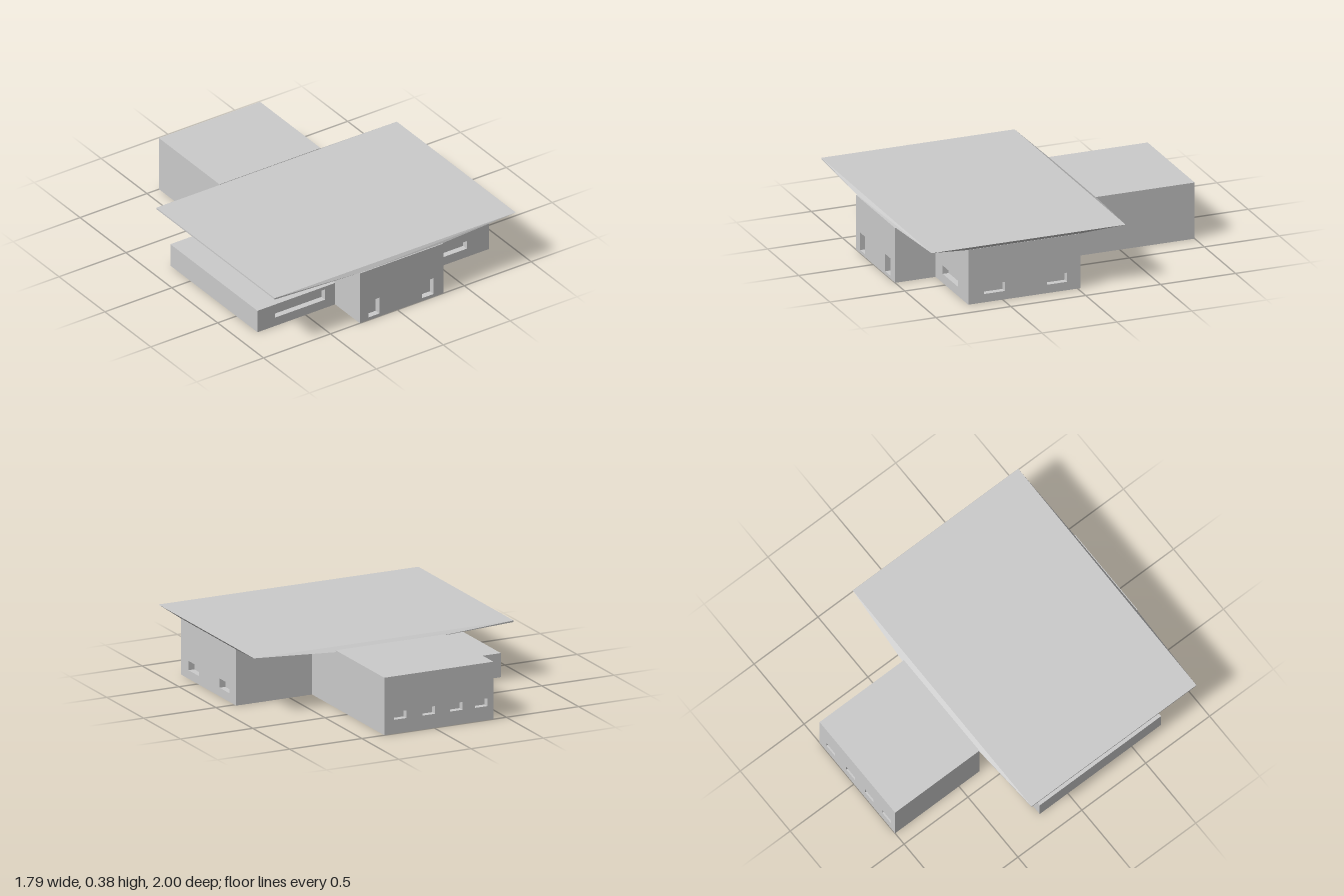
import * as THREE from 'three';
import { mergeGeometries } from 'three/addons/utils/BufferGeometryUtils.js';
import { ConvexGeometry } from 'three/addons/geometries/ConvexGeometry.js';

const material = new THREE.MeshStandardMaterial({ color: 0xcccccc });
const DEPTH = 0.04; // window recess

// Flat wall in the xy plane, facing +z, with recessed openings [u0, u1, y0, y1]
function wallGeometry(width, height, openings = []) {
  const w = width / 2;
  const rect = (Type, a, b, c, d) => new Type([[a, c], [b, c], [b, d], [a, d]].map(p => new THREE.Vector2(...p)));
  const shape = rect(THREE.Shape, -w, w, 0, height);
  const parts = [];
  for (const [a, b, c, d] of openings) {
    shape.holes.push(rect(THREE.Path, a, b, c, d));
    // Inside-out box without its front face lines the opening
    const niche = new THREE.BoxGeometry(b - a, d - c, DEPTH);
    const index = Array.from(niche.index.array);
    index.splice(24, 6);
    niche.setIndex(index.reverse());
    const normal = niche.attributes.normal;
    for (let i = 0; i < normal.array.length; i++) normal.array[i] *= -1;
    parts.push(niche.translate((a + b) / 2, (c + d) / 2, -DEPTH / 2));
  }
  parts.push(new THREE.ShapeGeometry(shape));
  return mergeGeometries(parts.map(g => g.toNonIndexed()));
}

// Closed building block; openings are given per side in model coordinates
function block(name, [x0, x1], [z0, z1], height, { front = [], back = [], left = [] } = {}) {
  const w = x1 - x0, d = z1 - z0, cx = (x0 + x1) / 2, cz = (z0 + z1) / 2;
  const flip = (list, c) => list.map(([a, b, y0, y1]) => [c - b, c - a, y0, y1]);
  const geometry = mergeGeometries([
    wallGeometry(w, height, front.map(([a, b, y0, y1]) => [a - cx, b - cx, y0, y1])).translate(0, 0, d / 2),
    wallGeometry(w, height, flip(back, cx)).rotateY(Math.PI).translate(0, 0, -d / 2),
    wallGeometry(d, height, flip(left, cz)).rotateY(Math.PI / 2).translate(w / 2, 0, 0),
    wallGeometry(d, height).rotateY(-Math.PI / 2).translate(-w / 2, 0, 0),
    new THREE.PlaneGeometry(w, d).rotateX(-Math.PI / 2).translate(0, height, 0).toNonIndexed(),
    new THREE.PlaneGeometry(w, d).rotateX(Math.PI / 2).toNonIndexed(),
  ]);
  const mesh = new THREE.Mesh(geometry, material);
  mesh.name = name;
  mesh.position.set(cx, 0, cz);
  return mesh;
}

export function createModel() {
  const group = new THREE.Group();
  group.name = 'building';

  // Central hall with two door openings
  group.add(block('centralHall', [-0.28, 0.345], [-0.34, 1], 0.36, {
    front: [[-0.215, -0.135, 0.02, 0.135], [0.185, 0.27, 0.02, 0.135]],
  }));

  // Tall side wing
  group.add(block('tallWing', [0.345, 0.87], [-0.02, 0.73], 0.36, {
    front: [[0.46, 0.705, 0.06, 0.115]],
    left: [[0.485, 0.625, 0.055, 0.115], [0.07, 0.205, 0.055, 0.115]],
  }));

  // Low side wing
  group.add(block('lowWing', [-0.86, -0.28], [-0.22, 0.73], 0.155, {
    front: [[-0.73, -0.355, 0.06, 0.135]],
  }));

  // Rear block with a row of small windows
  group.add(block('rearBlock', [-0.41, 0.345], [-1, -0.34], 0.37, {
    back: [-0.325, -0.153, 0.036, 0.234].map(x => [x - 0.043, x + 0.043, 0.09, 0.14]),
  }));

  // Roof: flat on top, underside rising from the wall tops to the thin eaves
  const points = [
    [-0.9, 0.385, 0.975], [0.895, 0.385, 0.985], [0.895, 0.385, -0.31], [-0.9, 0.385, -0.315],
    [-0.9, 0.375, 0.975], [-0.9, 0.375, -0.315],
    [-0.28, 0.361, 0.995], [0.345, 0.361, 0.995], [0.345, 0.361, -0.35], [-0.28, 0.361, -0.35],
    [0.87, 0.361, 0.73], [0.87, 0.361, -0.02],
  ].map(p => new THREE.Vector3(...p));
  const roof = new THREE.Mesh(new ConvexGeometry(points), material);
  roof.name = 'roof';
  group.add(roof);

  return group;
}
